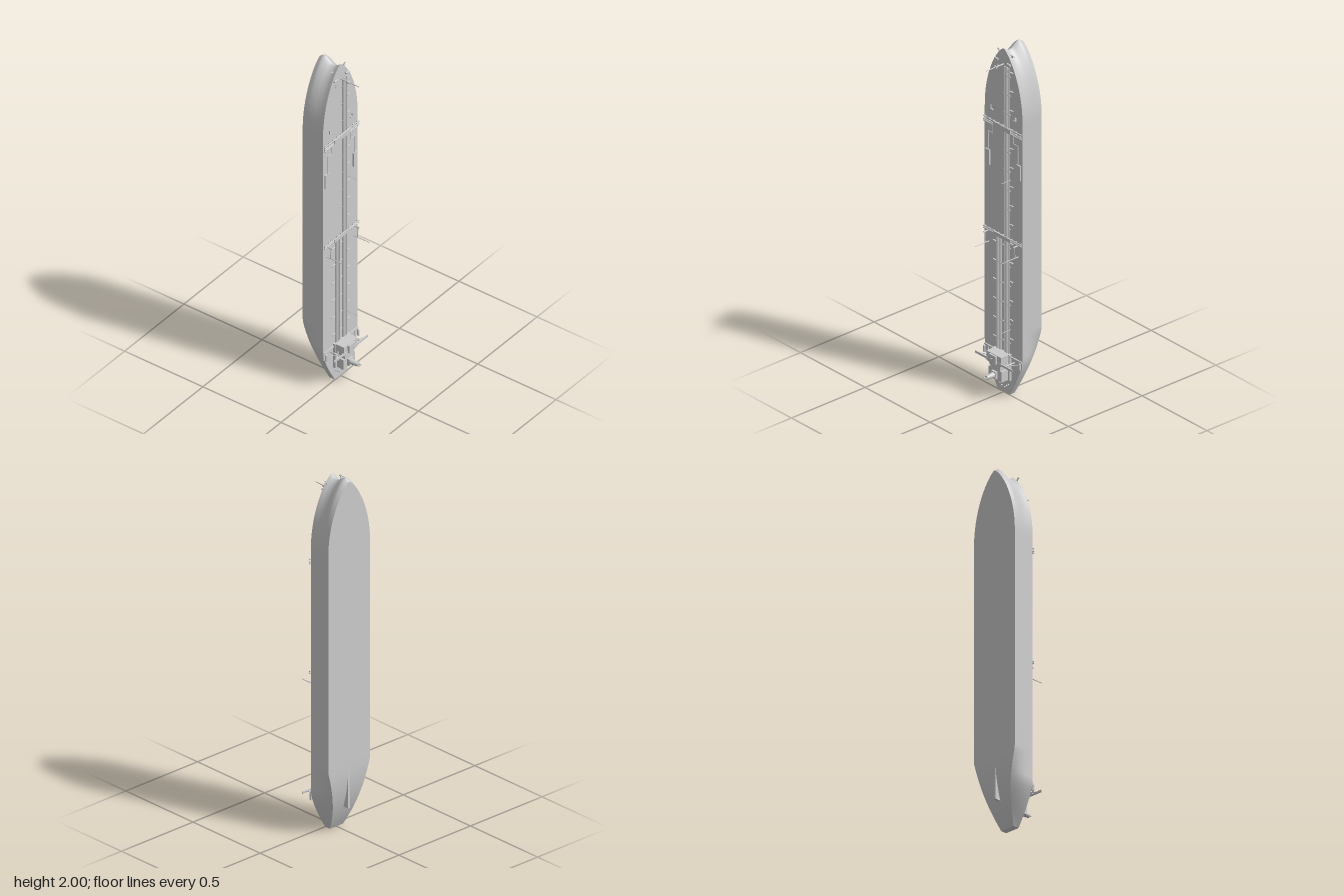
import * as THREE from 'three';

const grey = new THREE.MeshStandardMaterial({ color: 0xcccccc });
const W = 0.146; // half beam
const V = (x, y, z) => new THREE.Vector3(x, y, z);

// Surface from a grid of points; faces look along du x dv
function gridGeometry(nu, nv, point) {
  const pos = [], index = [];
  for (let i = 0; i <= nu; i++) for (let j = 0; j <= nv; j++) pos.push(...point(i, j / nv));
  for (let i = 0; i < nu; i++) for (let j = 0; j < nv; j++) {
    const a = i * (nv + 1) + j, b = a + nv + 1;
    index.push(a, b, a + 1, b, b + 1, a + 1);
  }
  const g = new THREE.BufferGeometry();
  g.setAttribute('position', new THREE.Float32BufferAttribute(pos, 3));
  g.setIndex(index);
  g.computeVertexNormals();
  return g;
}

// Hull lines: length stations, keel height, bulbous stem and half breadth
const stations = [];
for (let i = 0; i <= 16; i++) stations.push(0.4 * i / 16);
for (let i = 1; i <= 6; i++) stations.push(0.4 + 1.2 * i / 6);
for (let i = 1; i <= 24; i++) stations.push(1.6 + 0.4 * Math.sin(Math.PI / 2 * i / 24));
const clamp = (t) => Math.min(1, Math.max(0, t));
const keel = (y) => -0.035 - 0.095 * (1 - (1 - clamp(y / 0.38)) ** 2.2);
const stem = new THREE.SplineCurve([[0, 1.985], [0.03, 1.967], [0.055, 1.968], [0.08, 1.986],
  [0.11, 2], [0.13, 1.982]].map((p) => new THREE.Vector2(...p)));
function halfBreadth(y, v) {
  if (y > 1.6) return W * Math.max(0, 1 - ((y - 1.6) / 0.4) ** 2) ** 0.75;
  const deck = 0.045 + (W - 0.045) * (1 - (1 - clamp(y / 0.23)) ** 1.4);
  const bottom = 0.045 + (W - 0.045) * clamp(y / 0.38);
  return deck + (bottom - deck) * v * v;
}
function hullPoint(y, v, side) {
  const bowY = y > 1.6 ? 1.6 + (y - 1.6) * (stem.getPoint(v).y - 1.6) / 0.4 : y;
  return [side * halfBreadth(y, v), bowY, keel(y) * v];
}

export function createModel() {
  const ship = new THREE.Group();
  const add = (name, geo) => {
    const m = new THREE.Mesh(geo, grey);
    m.name = name;
    ship.add(m);
    return m;
  };
  const box = (name, x, y, z, sx, sy, sz) =>
    add(name, new THREE.BoxGeometry(sx, sy, sz)).position.set(x, y, z);
  const rod = (name, a, b, r, r2 = r, n = 8) => {
    const m = add(name, new THREE.CylinderGeometry(r2, r, a.distanceTo(b), n));
    m.position.copy(a).lerp(b, 0.5);
    m.quaternion.setFromUnitVectors(V(0, 1, 0), b.clone().sub(a).normalize());
  };

  // Hull: one shell round the bow, then deck, bottom and transom
  const n = stations.length - 1;
  add('hullSides', gridGeometry(2 * n, 16, (i, v) =>
    hullPoint(stations[i <= n ? i : 2 * n - i], v, i <= n ? -1 : 1)));
  add('deck', gridGeometry(n, 2, (i, t) => hullPoint(stations[i], 0, 1 - 2 * t)));
  add('hullBottom', gridGeometry(n, 2, (i, t) => hullPoint(stations[i], 1, 2 * t - 1)));
  add('transom', gridGeometry(1, 1, (i, t) => hullPoint(0, 1 - t, 2 * i - 1)));

  // Skeg on the centreline
  const fin = new THREE.Shape([[-0.13, 0.135], [-0.13, 0.4], [-0.1, 0.35], [-0.07, 0.16], [-0.085, 0.135]]
    .map((p) => new THREE.Vector2(...p)));
  const skeg = new THREE.ExtrudeGeometry(fin, { depth: 0.014, bevelEnabled: false });
  skeg.translate(0, 0, -0.007).rotateY(-Math.PI / 2);
  add('skeg', skeg);

  // Accommodation block, bridge and funnel
  box('lowerHouse', 0, 0.165, 0.008, 0.124, 0.15, 0.016);
  box('frontHouse', 0, 0.213, 0.036, 0.114, 0.055, 0.064);
  box('midHouse', 0, 0.17, 0.03, 0.075, 0.05, 0.055);
  box('engineCasing', 0, 0.122, 0.03, 0.1, 0.06, 0.055);
  box('bridge', 0, 0.215, 0.07, 0.054, 0.045, 0.016);
  box('bridgeWings', 0, 0.2, 0.067, 0.285, 0.012, 0.006);
  box('sternGallery', 0, 0.225, 0.004, 0.285, 0.006, 0.008);
  box('funnelBase', 0, 0.122, 0.064, 0.036, 0.04, 0.014);
  rod('funnel', V(0, 0.122, 0.06), V(0, 0.122, 0.118), 0.017, 0.011, 16);
  for (const x of [-0.006, 0.006]) rod('exhaustPipe', V(x, 0.122, 0.11), V(x, 0.122, 0.13), 0.003);
  rod('radarMast', V(0, 0.22, 0.07), V(0, 0.22, 0.09), 0.002);

  // Cargo pipes along the deck
  for (const x of [0.014, 0.024, 0.034, 0.045]) rod('longPipe', V(x, 0.24, 0.006), V(x, 1.89, 0.006), 0.0038);
  for (const x of [-0.046, -0.035, -0.024, -0.013]) rod('aftPipe', V(x, 0.24, 0.006), V(x, 0.9, 0.006), 0.0035);
  for (let y = 0.3; y < 1.85; y += 0.11) {
    box('pipeSupport', y < 0.9 ? 0 : 0.03, y, 0.003, y < 0.9 ? 0.11 : 0.05, 0.004, 0.006);
    box('deckFitting', 0.065, y + 0.03, 0.004, 0.022, 0.004, 0.008);
    if (y < 0.9) box('deckFitting', -0.066, y, 0.004, 0.02, 0.004, 0.008);
  }

  // Cross-deck manifolds
  for (const y of [0.897, 0.907, 1.517, 1.527, 1.542]) {
    rod('manifoldPipe', V(-W, y, 0.009), V(W, y, 0.009), 0.0035);
    for (let k = -4; k <= 4; k++) box('manifoldSaddle', k * 0.034, y, 0.005, 0.004, 0.007, 0.01);
  }
  box('manifoldPlatform', 0, 1.53, 0.012, 0.13, 0.026, 0.006);
  box('manifoldPlatform', 0, 0.9, 0.012, 0.13, 0.02, 0.006);

  // Masts and lamp posts
  rod('foremast', V(0, 1.895, 0), V(0, 1.895, 0.12), 0.004, 0.002);
  box('foremastPlatform', 0, 1.895, 0.055, 0.016, 0.012, 0.01);
  for (const y of [0.38, 1.245]) rod('lampPost', V(0.055, y, 0), V(0.055, y, 0.066), 0.0015);

  // Mirrored deck gear
  for (const s of [-1, 1]) {
    // Bridge wing legs and braces
    rod('wingLeg', V(s * 0.083, 0.2, 0), V(s * 0.083, 0.2, 0.066), 0.004);
    rod('wingBrace', V(s * 0.055, 0.2, 0.025), V(s * 0.083, 0.2, 0.05), 0.003);
    rod('wingBrace', V(s * 0.115, 0.2, 0.066), V(s * 0.083, 0.2, 0.04), 0.003);
    rod('wingBrace', V(s * 0.083, 0.2, 0.05), V(s * 0.115, 0.2, 0.004), 0.002);
    // Lifeboats
    add('lifeboat', new THREE.CapsuleGeometry(0.007, 0.03, 4, 10)).position.set(s * 0.136, 0.2, 0.012);
    box('lifeboatRack', s * 0.13, 0.2, 0.002, 0.03, 0.04, 0.004);
    // Hose cranes
    rod('cranePost', V(s * 0.114, 0.89, 0), V(s * 0.114, 0.89, 0.035), 0.004);
    rod('craneJib', V(s * 0.114, 0.89, 0.027), V(s * 0.114, 0.825, 0.024), 0.0025);
    rod('craneMast', V(s * 0.114, 0.825, 0), V(s * 0.114, 0.825, 0.098), 0.003, 0.0015);
    // Side stores and their feed pipes
    box('storeBox', s * 0.119, 1.315, 0.004, 0.032, 0.085, 0.008);
    const path = [V(s * 0.114, 1.355, 0.004), V(s * 0.114, 1.465, 0.004), V(s * 0.08, 1.465, 0.004),
      V(s * 0.08, 1.515, 0.004)];
    for (let k = 0; k < 3; k++) rod('feedPipe', path[k], path[k + 1], 0.0025);
    // Forward hatches, winches and anchors
    box('deckLocker', s * 0.088, 1.6, 0.004, 0.016, 0.006, 0.008);
    box('deckLocker', s * 0.095, 1.61, 0.004, 0.005, 0.022, 0.008);
    rod('winch', V(s * 0.035, 1.91, 0.007), V(s * 0.06, 1.91, 0.007), 0.006);
    rod('windlass', V(s * 0.038, 1.875, 0.005), V(s * 0.045, 1.86, 0.005), 0.004);
    rod('anchorShank', V(s * 0.048, 1.945, -0.015), V(s * 0.056, 1.962, -0.012), 0.004);
    rod('anchorFluke', V(s * 0.046, 1.961, -0.008), V(s * 0.064, 1.952, -0.018), 0.003);
    // Stern mooring bitts
    for (let k = 0; k < 3; k++)
      rod('mooringBitt', V(s * (0.012 + k * 0.013), 0.035 + k * 0.011, 0), V(s * (0.012 + k * 0.013), 0.035 + k * 0.011, 0.008), 0.004);
  }
  return ship;
}
